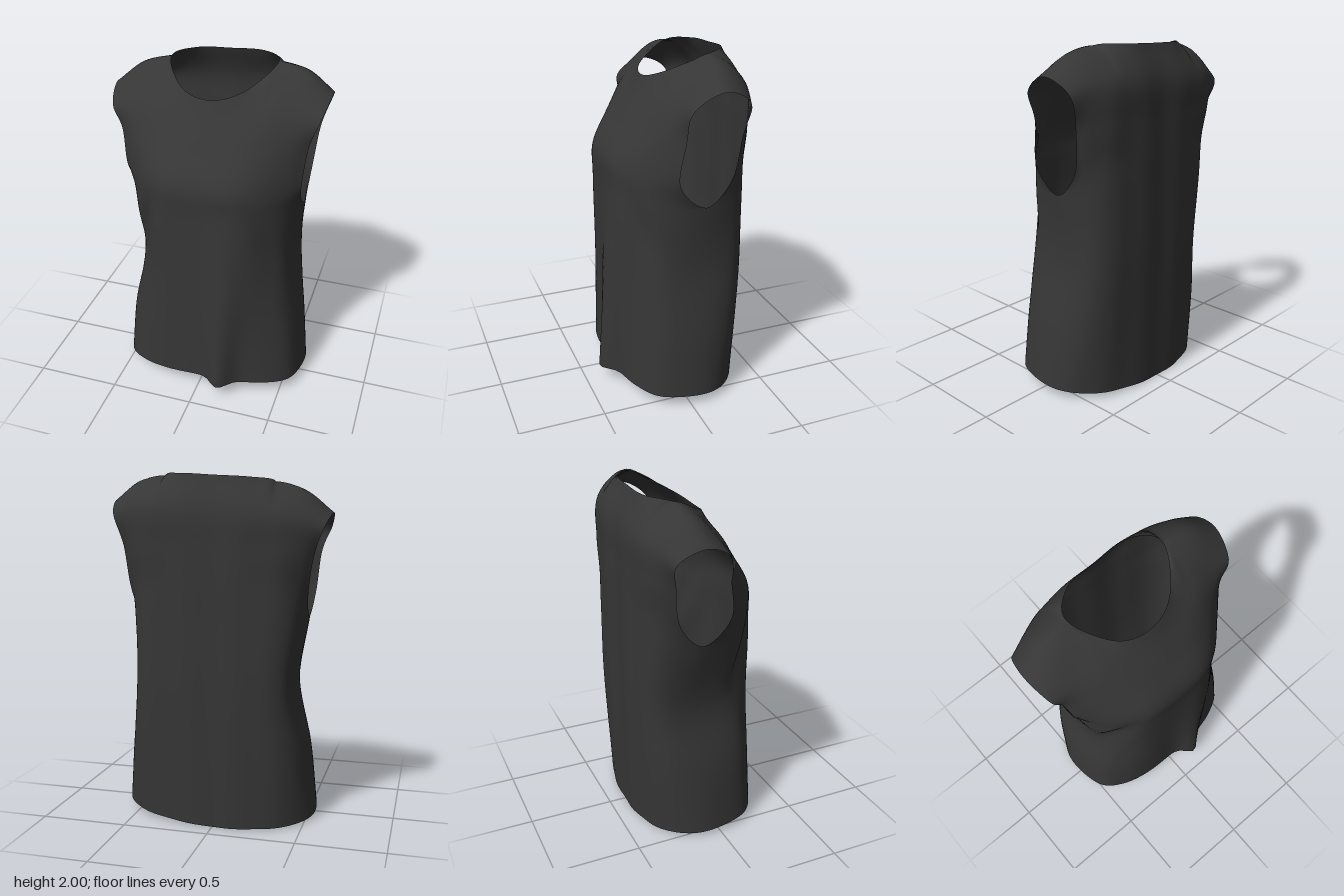
import * as THREE from 'three';
import { mergeVertices } from 'three/addons/utils/BufferGeometryUtils.js';

// Half cross-sections, hem to shoulder; each row runs from the centre line to the side.
const front = [
  [[0, .085, .335], [.22, .08, .325], [.4, .07, .275], [.53, .055, .17], [.575, .04, -.05]],
  [[0, .4, .335], [.22, .4, .322], [.38, .4, .262], [.5, .4, .15], [.535, .4, -.08]],
  [[0, .8, .335], [.21, .8, .322], [.345, .8, .25], [.44, .8, .13], [.467, .8, -.1]],
  [[0, 1.2, .335], [.21, 1.2, .32], [.345, 1.2, .25], [.455, 1.19, .11], [.51, 1.2, -.1]],
  [[0, 1.41, .33], [.2, 1.41, .315], [.34, 1.4, .24], [.46, 1.37, .13], [.518, 1.34, .055]],
  [[0, 1.59, .225], [.18, 1.6, .21], [.33, 1.6, .165], [.455, 1.59, .1], [.545, 1.58, .032]],
  [[0, 1.74, .13], [.19, 1.765, .095], [.32, 1.8, .045], [.46, 1.775, .02], [.6, 1.73, .02]],
  [[0, 1.83, .08], [.18, 1.87, .02], [.312, 1.97, -.185], [.48, 1.932, -.165], [.632, 1.82, -.14]],
];
const back = [
  [[0, 0, -.4], [.22, .008, -.385], [.4, .018, -.325], [.53, .03, -.21], [.575, .04, -.05]],
  [[0, .4, -.41], [.2, .4, -.4], [.37, .4, -.36], [.49, .4, -.265], [.535, .4, -.08]],
  [[0, .8, -.415], [.2, .8, -.412], [.355, .8, -.38], [.45, .8, -.29], [.467, .8, -.1]],
  [[0, 1.2, -.415], [.2, 1.2, -.412], [.36, 1.2, -.382], [.47, 1.19, -.295], [.51, 1.2, -.1]],
  [[0, 1.4, -.415], [.2, 1.4, -.412], [.365, 1.4, -.38], [.47, 1.38, -.315], [.518, 1.34, -.242]],
  [[0, 1.6, -.412], [.2, 1.6, -.412], [.37, 1.6, -.388], [.485, 1.59, -.34], [.55, 1.58, -.283]],
  [[0, 1.8, -.4], [.2, 1.8, -.405], [.345, 1.82, -.375], [.485, 1.8, -.335], [.605, 1.745, -.298]],
  [[0, 1.985, -.325], [.2, 1.985, -.31], [.312, 1.97, -.185], [.48, 1.932, -.165], [.632, 1.82, -.14]],
];
const ARM = 3, TOP = 7, NECK = 2, SIDE = 4, STEP = 7;
const opposite = panel => (panel === front ? back : front);

// Control point, mirrored across x and continued past the panel's borders.
function control(panel, r, c) {
  const other = opposite(panel);
  const s = Math.sign(c), a = Math.abs(c);
  const extend = (p, q) => p.multiplyScalar(2).sub(q);
  if (r < 0) return extend(control(panel, 0, c), control(panel, 1, c));
  if (r > TOP) return a >= NECK ? control(other, TOP - 1, c)
    : extend(control(panel, TOP, c), control(panel, TOP - 1, c));
  if (a > SIDE) return r <= ARM ? control(other, r, s * (SIDE - 1))
    : extend(control(panel, r, s * SIDE), control(panel, r, s * (SIDE - 1)));
  const [x, y, z] = panel[r][a];
  return new THREE.Vector3(x * s, y, z);
}

// Neighbour of cell (r, k): neck and armhole edges run on round into the other panel.
function neighbour(panel, r, k, dr, dc) {
  const c = k + dc, a = Math.abs(c);
  const neckCell = k >= -NECK && k < NECK;
  if (r + dr === TOP && neckCell && a > NECK) return control(opposite(panel), TOP, Math.sign(c) * (NECK - 1));
  if (r === ARM && dr === -1 && a === SIDE) return control(opposite(panel), ARM + 1, c);
  return control(panel, r + dr, c);
}

function spline(p, t) {
  const w = [
    (-t + 2 * t * t - t ** 3) / 2, (2 - 5 * t * t + 3 * t ** 3) / 2,
    (t + 4 * t * t - 3 * t ** 3) / 2, (t ** 3 - t * t) / 2,
  ];
  return p.reduce((sum, q, i) => sum.addScaledVector(q, w[i]), new THREE.Vector3());
}

// Smooth surface through the control points; i goes across, j goes up.
function surface(panel, i, j) {
  const r = Math.min(Math.floor(j / STEP), TOP - 1), v = j / STEP - r;
  const k = Math.min(Math.floor(i / STEP), 2 * SIDE - 1), u = i / STEP - k;
  const offsets = [-1, 0, 1, 2];
  return spline(offsets.map(dr =>
    spline(offsets.map(dc => neighbour(panel, r, k - SIDE, dr, dc)), u)), v);
}

// Cloth folds, fading out towards the side seams.
function fold(p, panel, i) {
  const { x, y } = p, a = Math.abs(x);
  const inside = 1 - Math.abs(i / (SIDE * STEP) - 1) ** 4;
  if (panel === front) {
    const pleat = Math.exp(-(((x - .14) / (.06 + .06 * y)) ** 2));
    p.z += .092 * pleat * Math.max(0, 1 - y / 1.3);
    const crease = (a - .32 - .3 * (1.22 - y)) / .05;
    p.z -= (x < 0 ? .06 : .025) * inside * Math.exp(-crease * crease - ((y - .98) / .25) ** 2);
  } else {
    p.z += .003 * inside * Math.cos(x * 24) * Math.min(1, Math.max(0, (1.95 - y) * 3));
  }
}

// Slight unevenness between the two sides, strongest at the waist.
function skew(p) {
  const { x, y } = p;
  const waist = .05 + .04 * Math.exp(-(((y - .82) / .25) ** 2));
  p.x += waist * Math.abs(x) * THREE.MathUtils.clamp(1.6 - y, 0, 1);
  p.y += .06 * x * THREE.MathUtils.smoothstep(y, 1.4, 1.85) + .03 * x * Math.max(0, 1 - y / .5);
}

function shirtGeometry() {
  const W = 2 * SIDE * STEP, H = TOP * STEP, positions = [], index = [];
  for (const panel of [front, back]) {
    const base = positions.length / 3;
    for (let j = 0; j <= H; j++) for (let i = 0; i <= W; i++) {
      const p = surface(panel, i, j);
      // Side seams and shoulder seams are shared by both panels.
      const sideSeam = (i === 0 || i === W) && j <= ARM * STEP;
      const shoulder = j === H && Math.abs(i - W / 2) >= NECK * STEP;
      if (sideSeam || shoulder) p.add(surface(opposite(panel), i, j)).multiplyScalar(.5);
      else fold(p, panel, i);
      skew(p);
      positions.push(p.x, p.y, p.z);
      if (i < W && j < H) {
        const a = base + j * (W + 1) + i, b = a + 1, c = a + W + 1, d = c + 1;
        if (panel === front) index.push(a, b, d, a, d, c);
        else index.push(a, d, b, a, c, d);
      }
    }
  }
  const geometry = new THREE.BufferGeometry();
  geometry.setAttribute('position', new THREE.Float32BufferAttribute(positions, 3));
  geometry.setIndex(index);
  const welded = mergeVertices(geometry, 1e-4);
  welded.computeVertexNormals();
  return welded;
}

export function createModel() {
  const group = new THREE.Group();
  group.name = 'sleevelessTop';
  const charcoalCloth = new THREE.MeshStandardMaterial({ color: 0x363636, side: THREE.DoubleSide });
  charcoalCloth.name = 'charcoalCloth';
  const body = new THREE.Mesh(shirtGeometry(), charcoalCloth);
  body.name = 'shirtBody';
  group.add(body);
  return group;
}
